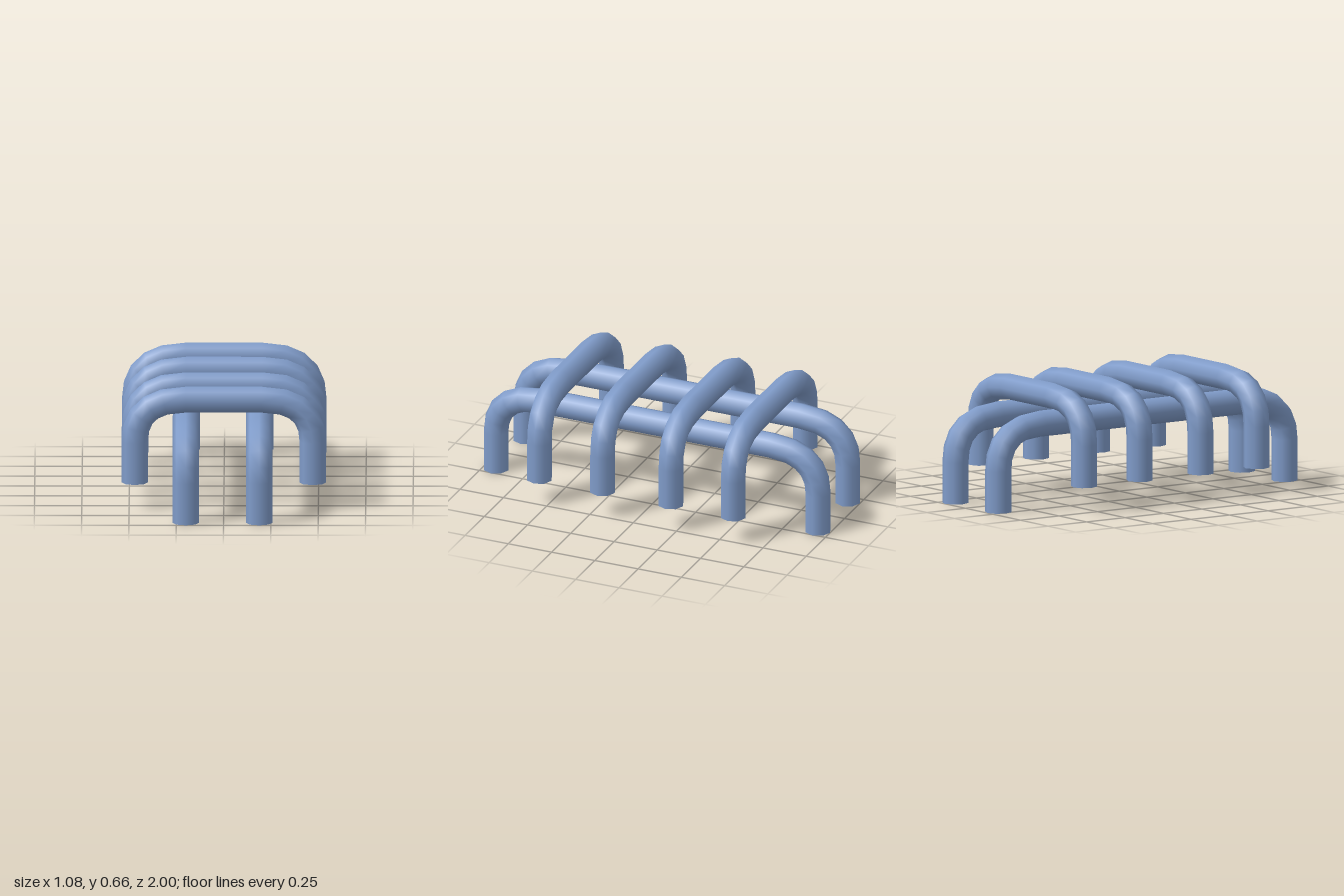
import * as THREE from 'three';

const RADIUS = 0.07, SIDES = 8;
const HEIGHT = 0.447;             // foot to centre line of the top bar
const BEND_W = 0.27, BEND_H = 0.225;

// Centre line of a staple-shaped bar in the XY plane, with tangents
function staplePath(half) {
  const left = [{ x: -half, y: 0, tx: 0, ty: 1 }];
  for (const t of [0, 0.17, 0.36, 0.56, 0.76, 1]) {
    const tx = t * BEND_W, ty = (1 - t) * BEND_H, l = Math.hypot(tx, ty);
    left.push({
      x: -half + BEND_W * t * t,
      y: HEIGHT - BEND_H * (1 - t) * (1 - t),
      tx: tx / l, ty: ty / l,
    });
  }
  const right = left.map(p => ({ x: -p.x, y: p.y, tx: p.tx, ty: -p.ty })).reverse();
  return [...left, ...right];
}

// Octagonal rings swept along the centre line
function stapleGeometry(half) {
  const pos = [], nor = [], idx = [];
  const path = staplePath(half), row = SIDES + 1;
  path.forEach((p, i) => {
    for (let j = 0; j <= SIDES; j++) {
      const a = (j / SIDES) * Math.PI * 2;
      const n = [-p.ty * Math.cos(a), p.tx * Math.cos(a), Math.sin(a)];
      pos.push(p.x + n[0] * RADIUS, p.y + n[1] * RADIUS, n[2] * RADIUS);
      nor.push(...n);
      if (i && j) {
        const d = i * row + j, c = d - 1, b = d - row, e = b - 1;
        idx.push(e, b, c, b, d, c);
      }
    }
  });
  const g = new THREE.BufferGeometry();
  g.setAttribute('position', new THREE.Float32BufferAttribute(pos, 3));
  g.setAttribute('normal', new THREE.Float32BufferAttribute(nor, 3));
  g.setIndex(idx);
  return g;
}

// Bar with two closed feet
function makeStaple(name, half, material) {
  const group = new THREE.Group();
  group.name = name;
  const bar = new THREE.Mesh(stapleGeometry(half), material);
  bar.name = name + 'Bar';
  group.add(bar);
  const capGeometry = new THREE.CircleGeometry(RADIUS, SIDES).rotateX(Math.PI / 2);
  for (const side of [-1, 1]) {
    const cap = new THREE.Mesh(capGeometry, material);
    cap.name = name + 'FootCap';
    cap.position.x = side * half;
    group.add(cap);
  }
  return group;
}

export function createModel() {
  const model = new THREE.Group();
  model.name = 'barRack';
  const blue = new THREE.MeshStandardMaterial({ color: 0x809cca });
  blue.name = 'steelBlue';
  blue.side = THREE.DoubleSide;

  // Two long rails running front to back
  for (const x of [-0.2, 0.188]) {
    const rail = makeStaple('longRail', 0.93, blue);
    rail.rotation.y = Math.PI / 2;
    rail.position.x = x;
    model.add(rail);
  }

  // Four hoops resting across the rails
  for (const z of [0.555, 0.19, -0.205, -0.565]) {
    const hoop = makeStaple('crossHoop', 0.47, blue);
    hoop.position.set(0, 0.138, z);
    model.add(hoop);
  }
  return model;
}
